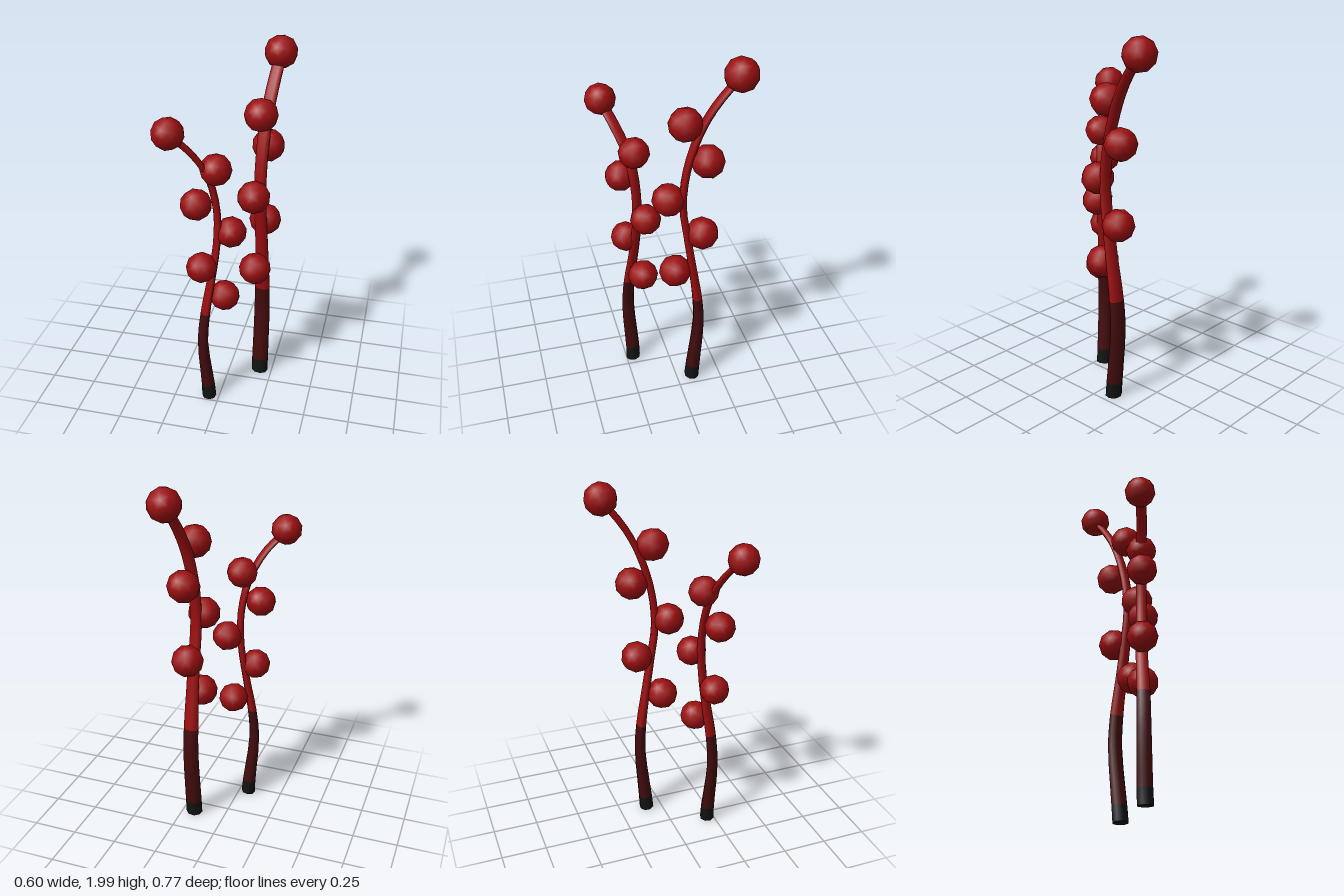
import * as THREE from 'three';

const material = (name, color, side = THREE.FrontSide) => {
  const m = new THREE.MeshStandardMaterial({ color, side });
  m.name = name;
  return m;
};

// Sweeps a flattened octagon along the points; wide is the horizontal wide axis.
// Each point is [x, y, z, half width, half thickness].
function stemGeometry(points, wide, sides = 8, steps = 3) {
  const curve = new THREE.CatmullRomCurve3(points.map(p => new THREE.Vector3(p[0], p[1], p[2])));
  const spans = points.length - 1;
  const rings = spans * steps;
  const pos = [], index = [];
  for (let i = 0; i <= rings; i++) {
    const u = i / rings;
    const k = Math.min(Math.floor(i / steps), spans - 1);
    const f = i / steps - k;
    const c = curve.getPoint(u);
    const thin = new THREE.Vector3().crossVectors(curve.getTangent(u), wide).normalize();
    const a = THREE.MathUtils.lerp(points[k][3], points[k + 1][3], f);
    const b = THREE.MathUtils.lerp(points[k][4], points[k + 1][4], f);
    for (let j = 0; j < sides; j++) {
      const t = (j + 0.5) / sides * Math.PI * 2;
      const v = c.clone().addScaledVector(wide, a * Math.cos(t)).addScaledVector(thin, -b * Math.sin(t));
      pos.push(v.x, v.y, v.z);
    }
  }
  for (let i = 0; i < rings; i++) {
    for (let j = 0; j < sides; j++) {
      const a = i * sides + j, b = i * sides + (j + 1) % sides;
      index.push(a, a + sides, b, b, a + sides, b + sides);
    }
  }
  const g = new THREE.BufferGeometry();
  g.setAttribute('position', new THREE.Float32BufferAttribute(pos, 3));
  g.setIndex(index);
  g.computeVertexNormals();
  // first span is the cut end, next two the dark stalk, the rest red
  const n = steps * sides * 6;
  g.addGroup(0, n, 0);
  g.addGroup(n, 2 * n, 1);
  g.addGroup(3 * n, (spans - 3) * n, 2);

  // separate flat end cap
  const cap = new THREE.BufferGeometry();
  cap.setAttribute('position', new THREE.Float32BufferAttribute(pos.slice(0, sides * 3), 3));
  const fan = [];
  for (let j = 1; j < sides - 1; j++) fan.push(0, j, j + 1);
  cap.setIndex(fan);
  cap.computeVertexNormals();
  return { g, cap };
}

export function createModel() {
  const model = new THREE.Group();
  model.name = 'berryTwigs';
  const red = material('berryRed', 0x9c0e10);
  const black = material('cutEndBlack', 0x141313, THREE.DoubleSide);
  const maroon = material('stalkMaroon', 0x430b0d, THREE.DoubleSide);
  const stemRed = red;
  stemRed.side = THREE.DoubleSide;

  const twigs = [
    {
      name: 'tallTwig',
      wide: [0.986, 0, 0.164],
      stem: [
        [0.18, 0.012, -0.088, 0.048, 0.042], [0.18, 0.1, -0.095, 0.048, 0.04],
        [0.18, 0.42, -0.122, 0.046, 0.031], [0.18, 0.59, -0.112, 0.044, 0.028],
        [0.18, 0.8, -0.082, 0.038, 0.023], [0.177, 1.0, -0.052, 0.035, 0.021],
        [0.172, 1.2, -0.027, 0.034, 0.02], [0.172, 1.4, -0.045, 0.034, 0.02],
        [0.18, 1.6, -0.102, 0.035, 0.02], [0.195, 1.75, -0.175, 0.035, 0.019],
        [0.215, 1.9, -0.285, 0.033, 0.018],
      ],
      berries: [
        [0.215, 1.912, -0.295], [0.167, 1.66, -0.037], [0.188, 1.452, -0.15],
        [0.152, 1.235, 0.045], [0.184, 1.02, -0.13], [0.158, 0.78, 0.008],
      ],
      radius: 0.088,
    },
    {
      name: 'shortTwig',
      wide: [0.535, 0, 0.845],
      stem: [
        [-0.056, 0.015, 0.21, 0.044, 0.04], [-0.061, 0.1, 0.211, 0.043, 0.037],
        [-0.084, 0.4, 0.225, 0.04, 0.027], [-0.07, 0.59, 0.216, 0.038, 0.024],
        [-0.041, 0.8, 0.192, 0.034, 0.02], [-0.015, 1.0, 0.177, 0.031, 0.018],
        [-0.012, 1.2, 0.177, 0.03, 0.018], [-0.05, 1.4, 0.202, 0.031, 0.018],
        [-0.125, 1.55, 0.256, 0.031, 0.017], [-0.215, 1.65, 0.305, 0.03, 0.016],
      ],
      berries: [
        [-0.22, 1.66, 0.307], [-0.015, 1.437, 0.182], [-0.105, 1.26, 0.24],
        [0.055, 1.07, 0.143], [-0.085, 0.882, 0.225], [0.022, 0.68, 0.156],
      ],
      radius: 0.083,
    },
  ];

  const berryGeometry = new THREE.IcosahedronGeometry(1, 1);

  for (const t of twigs) {
    const twig = new THREE.Group();
    twig.name = t.name;
    const wide = new THREE.Vector3(...t.wide).normalize();
    const { g, cap } = stemGeometry(t.stem, wide);
    const stem = new THREE.Mesh(g, [black, maroon, stemRed]);
    stem.name = 'stem';
    const end = new THREE.Mesh(cap, black);
    end.name = 'stemEnd';
    twig.add(stem, end);
    // berries alternate down the stem, each turned a little
    t.berries.forEach((p, i) => {
      const berry = new THREE.Mesh(berryGeometry, red);
      berry.name = 'berry';
      berry.position.set(...p);
      berry.scale.setScalar(t.radius);
      berry.rotation.set(i * 0.7, i * 1.1, 0.3);
      twig.add(berry);
    });
    model.add(twig);
  }
  return model;
}
